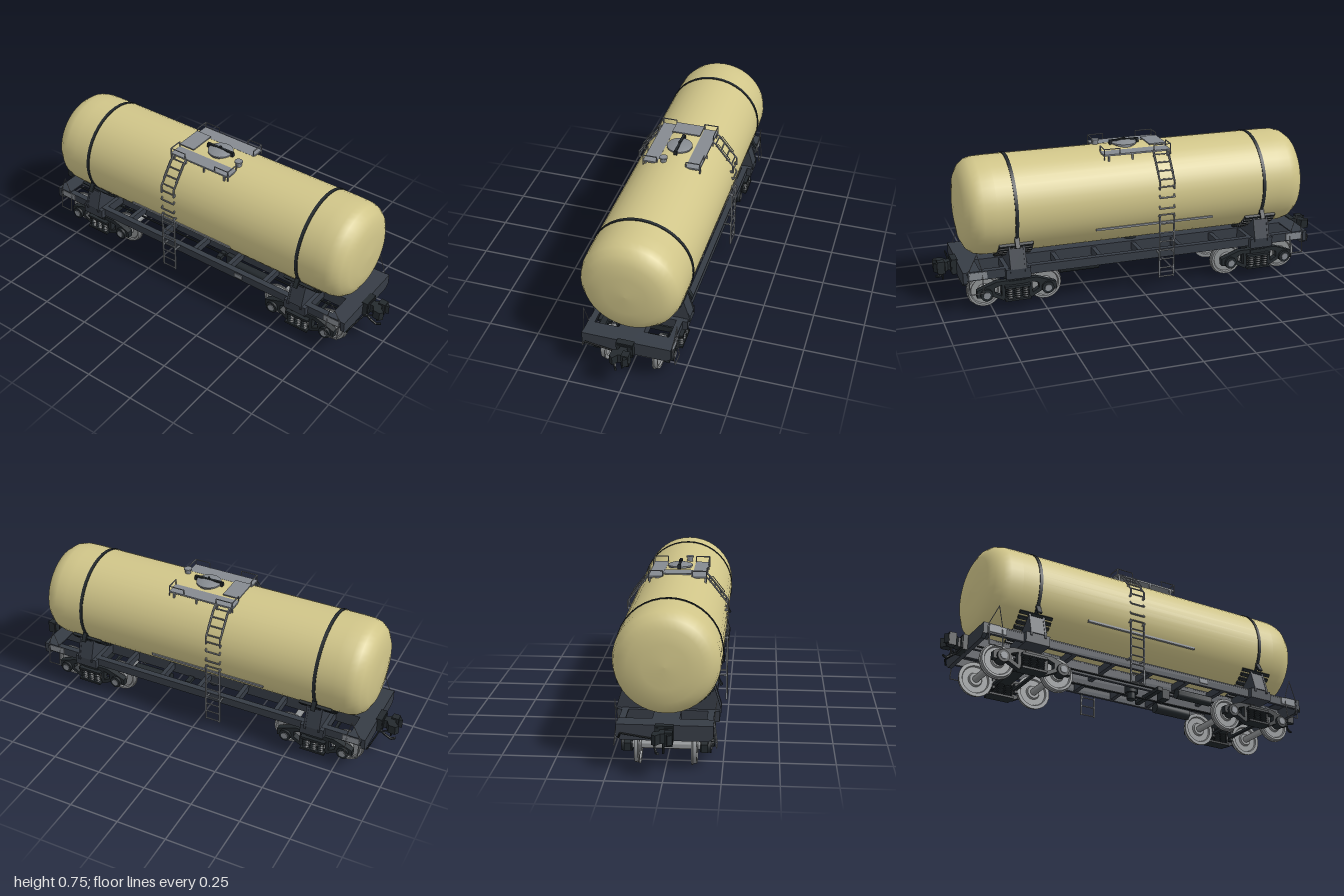
import * as THREE from 'three';
import { toCreasedNormals } from 'three/addons/utils/BufferGeometryUtils.js';

const V = (x, y, z) => new THREE.Vector3(x, y, z);
const mat = (name, color) => Object.assign(new THREE.MeshStandardMaterial({ color }), { name });

export function createModel() {
  const cream = mat('tank cream', 0xd0c589);
  const dark = mat('frame slate', 0x363c45);
  const black = mat('running gear black', 0x23292d);
  const grey = mat('ladder grey', 0x858a90);
  const steel = mat('wheel steel', 0x909395);
  const model = new THREE.Group();
  model.name = 'tankWagon';

  const add = (name, geo, m, parent = model) => {
    const mesh = new THREE.Mesh(geo, m);
    mesh.name = name;
    parent.add(mesh);
    return mesh;
  };
  const group = (name, parent = model) => {
    const g = new THREE.Group();
    g.name = name;
    parent.add(g);
    return g;
  };
  const box = (name, m, w, h, d, x, y, z, parent) => {
    const b = add(name, new THREE.BoxGeometry(w, h, d), m, parent);
    b.position.set(x, y, z);
    return b;
  };
  // round bar between two points
  const rod = (name, m, a, b, r, parent, sides = 8) => {
    const c = add(name, toCreasedNormals(new THREE.CylinderGeometry(r, r, a.distanceTo(b), sides), 0.9), m, parent);
    c.position.copy(a).add(b).multiplyScalar(0.5);
    c.quaternion.setFromUnitVectors(V(0, 1, 0), b.clone().sub(a).normalize());
    return c;
  };
  const path = (name, m, pts, r, parent) => {
    for (let i = 1; i < pts.length; i++) rod(name, m, pts[i - 1], pts[i], r, parent, 6);
  };
  const shapeOf = pts => new THREE.Shape(pts.map(p => new THREE.Vector2(...p)));
  const extrude = (shape, depth) => new THREE.ExtrudeGeometry(shape, { depth, bevelEnabled: false }).translate(0, 0, -depth / 2);
  const lathe = (pts, seg) => new THREE.LatheGeometry(pts.map(p => new THREE.Vector2(...p)), seg);

  // Tank barrel with dished ends
  const TY = 0.475, R = 0.24;
  const end = [[0, 0.883], [0.1, 0.878], [0.165, 0.867], [0.205, 0.846], [0.229, 0.815], [0.238, 0.78], [R, 0.72]];
  const profile = [...end.map(([r, x]) => [r, -x]), ...end.slice().reverse()];
  const tank = add('tank', lathe(profile, 40).rotateZ(-Math.PI / 2), cream);
  tank.position.y = TY;

  // Straps, saddles and bearing blocks under the tank
  for (const s of [1, -1]) {
    const x = 0.63 * s, saddle = group('saddle');
    const strap = add('strap', toCreasedNormals(lathe([[0.238, -0.008], [0.2435, -0.008], [0.2435, 0.008], [0.238, 0.008]], 40).rotateZ(-Math.PI / 2), 0.6), black);
    strap.position.set(x, TY, 0);
    const pts = [[-0.236, 0.2], [0.236, 0.2], [0.236, 0.218], [0.205, 0.32]];
    for (let i = 0; i <= 16; i++) {
      const a = 0.92 * (1 - i / 8);
      pts.push([0.256 * Math.sin(a), TY - 0.256 * Math.cos(a)]);
    }
    pts.push([-0.205, 0.32], [-0.236, 0.218]);
    for (const o of [-0.035, 0.035]) {
      add('saddlePlate', extrude(shapeOf(pts), 0.01).rotateY(-Math.PI / 2), dark, saddle).position.x = x + o;
    }
    box('saddleBase', dark, 0.12, 0.05, 0.46, x, 0.19, 0, saddle);
    for (const t of [1, -1]) {
      for (let i = 0; i < 8; i++) {
        const a = t * (0.2 + i * 0.102);
        const b = box('bearingBlock', black, 0.165, 0.014, 0.016, x, TY - 0.249 * Math.cos(a), 0.249 * Math.sin(a), saddle);
        b.rotation.x = -a;
      }
      const web = box('saddleWeb', dark, 0.07, 0.1, 0.008, x, 0.262, t * 0.216, saddle);
      web.rotation.x = -t * 0.29;
      // strap tensioner
      box('strapTensioner', black, 0.022, 0.09, 0.01, x, 0.36, t * 0.214, saddle).rotation.x = t * -0.5;
    }
  }

  // Underframe: centre sill, side sills, cross members, end beams
  const frame = group('underframe');
  for (const t of [1, -1]) {
    box('centreSill', dark, 1.76, 0.065, 0.018, 0, 0.185, t * 0.05, frame);
    box('sideSill', dark, 1.74, 0.042, 0.016, 0, 0.193, t * 0.198, frame);
    box('sideSillFlange', dark, 1.74, 0.006, 0.03, 0, 0.213, t * 0.193, frame);
  }
  box('centreSillTop', dark, 1.76, 0.006, 0.12, 0, 0.216, 0, frame);
  for (const x of [-0.42, -0.21, 0, 0.21, 0.42]) box('crossMember', dark, 0.022, 0.036, 0.39, x, 0.192, 0, frame);
  for (const s of [1, -1]) {
    const beam = shapeOf([[-0.19, 0.148], [0.19, 0.148], [0.212, 0.165], [0.212, 0.219], [-0.212, 0.219], [-0.212, 0.165]]);
    add('endBeam', extrude(beam, 0.02).rotateY(-Math.PI / 2), dark, frame).position.x = s * 0.882;
    box('endPlatform', dark, 0.08, 0.006, 0.42, s * 0.85, 0.216, 0, frame);
    box('draftStop', black, 0.03, 0.075, 0.08, s * 0.9, 0.186, 0, frame);
    for (const t of [1, -1]) {
      box('sillEndPlate', grey, 0.085, 0.034, 0.005, s * 0.82, 0.196, t * 0.209, frame);
      // corner step and grab rail
      path('cornerStep', grey, [V(s * 0.865, 0.2, t * 0.213), V(s * 0.865, 0.11, t * 0.224), V(s * 0.8, 0.11, t * 0.224), V(s * 0.8, 0.2, t * 0.213)], 0.0028, frame);
      path('grabRail', grey, [V(s * 0.868, 0.215, t * 0.212), V(s * 0.825, 0.31, t * 0.222), V(s * 0.8, 0.215, t * 0.212)], 0.002, frame);
    }
    // Coupler, seen in plan: shank opening into jaw and thumb
    const coupler = group('coupler');
    const plan = shapeOf([[0.87, -0.018], [0.935, -0.018], [0.95, -0.045], [0.985, -0.048], [0.998, -0.03], [0.975, -0.012],
      [0.968, 0.012], [1, 0.02], [0.985, 0.04], [0.945, 0.034], [0.93, 0.018], [0.87, 0.018]]);
    add('couplerHead', extrude(plan, 0.045).rotateX(-Math.PI / 2), black, coupler).position.y = 0.188;
    box('couplerGuard', black, 0.035, 0.062, 0.035, 0.965, 0.188, -0.024, coupler);
    box('couplerCollar', black, 0.022, 0.058, 0.07, 0.908, 0.187, 0, coupler);
    path('brakeHose', black, [V(0.9, 0.165, 0.035), V(0.935, 0.145, 0.04), V(0.965, 0.12, 0.03), V(0.985, 0.125, 0.02)], 0.006, coupler);
    path('releaseLever', black, [V(0.9, 0.16, 0.2), V(0.91, 0.185, 0.19), V(0.91, 0.165, 0.06), V(0.94, 0.155, 0.02)], 0.004, coupler);
    rod('couplerChain', black, V(0.955, 0.165, 0), V(0.955, 0.115, 0), 0.005, coupler);
    coupler.rotation.y = s > 0 ? 0 : Math.PI;
  }

  // Bogies
  const wheelProfile = [[0.017, -0.014], [0.03, -0.014], [0.035, -0.004], [0.064, -0.004], [0.068, -0.012], [0.085, -0.012], [0.085, -0.006],
    [0.08, -0.004], [0.079, 0.012], [0.068, 0.012], [0.064, 0.004], [0.035, 0.004], [0.03, 0.014], [0, 0.014]];
  const wheelGeo = toCreasedNormals(lathe(wheelProfile, 32), 0.5);
  const coil = [[0, 0.052]];
  for (let i = 0; i <= 10; i++) coil.push([i % 2 ? 0.017 : 0.011, 0.052 + i * 0.0058]);
  const springGeo = toCreasedNormals(lathe(coil, 12), 0.4);
  const side = shapeOf([[-0.195, 0.07], [-0.12, 0.07], [-0.07, 0.044], [0.07, 0.044], [0.12, 0.07], [0.195, 0.07],
    [0.195, 0.106], [0.165, 0.118], [0.1, 0.142], [-0.1, 0.142], [-0.165, 0.118], [-0.195, 0.106]]);
  const hole = pts => side.holes.push(new THREE.Path(pts.map(p => new THREE.Vector2(...p))));
  hole([[-0.058, 0.056], [-0.058, 0.112], [0.058, 0.112], [0.058, 0.056]]);
  for (const q of [1, -1]) hole([[q * 0.075, 0.066], [q * 0.108, 0.085], [q * 0.108, 0.112], [q * 0.075, 0.124]]);
  const sideGeo = extrude(side, 0.03);
  for (const s of [1, -1]) {
    const bogie = group('bogie');
    bogie.position.x = 0.63 * s;
    box('bolster', black, 0.08, 0.032, 0.38, 0, 0.124, 0, bogie);
    rod('centrePivot', black, V(0, 0.13, 0), V(0, 0.17, 0), 0.035, bogie, 16);
    for (const t of [1, -1]) {
      add('sideFrame', sideGeo, black, bogie).position.z = t * 0.17;
      box('sideBearer', black, 0.05, 0.03, 0.03, 0, 0.15, t * 0.13, bogie);
      for (const x of [-0.038, 0, 0.038]) for (const z of [0.16, 0.192]) add('spring', springGeo, black, bogie).position.set(x, 0, t * z);
      box('springSeat', black, 0.125, 0.01, 0.065, 0, 0.049, t * 0.176, bogie);
      box('springCap', black, 0.125, 0.012, 0.065, 0, 0.115, t * 0.176, bogie);
    }
    for (const q of [1, -1]) {
      const set = group('wheelset', bogie);
      set.position.set(q * 0.15, 0.085, 0);
      rod('axle', steel, V(0, 0, -0.16), V(0, 0, 0.16), 0.017, set, 16);
      for (const t of [1, -1]) {
        const w = add('wheel', wheelGeo, steel, set);
        w.rotation.x = t * Math.PI / 2;
        w.position.z = t * 0.125;
        rod('axleBox', black, V(0, 0, t * 0.15), V(0, 0, t * 0.198), 0.03, set, 16);
        rod('axleCap', grey, V(0, 0, t * 0.198), V(0, 0, t * 0.202), 0.017, set, 12);
        box('brakeShoe', black, 0.014, 0.05, 0.025, q * -0.092, 0, t * 0.123, set);
      }
      box('brakeBeam', black, 0.014, 0.014, 0.26, q * -0.095, -0.005, 0, set);
    }
  }

  // Brake gear and drain below the frame
  const gear = group('brakeGear');
  rod('airReservoir', black, V(0.2, 0.142, -0.1), V(0.4, 0.142, -0.1), 0.027, gear, 16);
  rod('brakeCylinder', black, V(0.2, 0.148, 0.1), V(0.4, 0.148, 0.1), 0.025, gear, 16);
  rod('drainValve', black, V(0, 0.235, 0), V(0, 0.14, 0), 0.033, gear, 16);
  rod('drainSpout', black, V(0, 0.14, 0), V(0, 0.108, 0), 0.022, gear, 12);
  box('brakeValve', black, 0.04, 0.05, 0.05, 0.15, 0.14, 0.06, gear);
  box('loadLever', black, 0.025, 0.02, 0.22, 0.1, 0.15, 0, gear);
  box('dataPlate', grey, 0.045, 0.022, 0.004, 0.29, 0.194, 0.209, gear);
  rod('brakePipe', black, V(-0.86, 0.158, 0.08), V(0.86, 0.158, 0.08), 0.005, gear);
  rod('pullRod', black, V(-0.53, 0.135, -0.02), V(0.53, 0.142, -0.02), 0.005, gear);

  // Ladders, tank-side bars and steps, alike on both sides
  const X0 = -0.148, X1 = -0.074;
  for (const t of [1, -1]) {
    const lad = group('ladder');
    for (const x of [X0, X1]) {
      box('lowerRail', grey, 0.006, 0.33, 0.008, x, 0.245, t * 0.243, lad);
      box('lowerBracket', grey, 0.006, 0.008, 0.04, x, 0.4, t * 0.232, lad);
      box('frameBracket', grey, 0.006, 0.008, 0.045, x, 0.208, t * 0.222, lad);
      path('upperRail', grey, [V(x, 0.535, t * 0.243), V(x, 0.575, t * 0.243), V(x, 0.69, t * 0.152), V(x, 0.7, t * 0.14)], 0.0045, lad);
      box('upperBracket', grey, 0.006, 0.01, 0.022, x, 0.54, t * 0.235, lad);
      path('ladderHandrail', grey, [V(x, 0.605, t * 0.208), V(x, 0.613, t * 0.226), V(x, 0.69, t * 0.166), V(x, 0.675, t * 0.155)], 0.002, lad);
    }
    for (let y = 0.085; y < 0.41; y += 0.046) rod('lowerRung', grey, V(X0, y, t * 0.243), V(X1, y, t * 0.243), 0.0035, lad, 6);
    for (const [y, z] of [[0.55, 0.243], [0.585, 0.235], [0.62, 0.207], [0.655, 0.18], [0.688, 0.153]]) {
      rod('upperRung', grey, V(X0, y, t * z), V(X1, y, t * z), 0.0035, lad, 6);
    }
    for (const y of [0.44, 0.495]) {
      path('stirrupStep', grey, [V(X0, y + 0.012, t * 0.237), V(X0, y, t * 0.246), V(X1, y, t * 0.246), V(X1, y + 0.012, t * 0.237)], 0.004, lad);
    }
    box('tankSideBar', grey, 0.605, 0.01, 0.012, -0.062, 0.358, t * 0.212);
  }

  // Top walkway with railings
  const walk = group('walkway');
  box('crossBoard', grey, 0.085, 0.006, 0.14, -0.122, 0.717, 0, walk);
  for (const t of [1, -1]) {
    box('sideBoard', grey, 0.34, 0.008, 0.07, 0.005, 0.701, t * 0.105, walk);
    for (const x of [-0.15, -0.08, 0.03, 0.15]) box('boardSupport', grey, 0.008, 0.03, 0.008, x, 0.685, t * 0.135, walk);
    for (const x of [-0.163, 0.173]) {
      path('endRailing', grey, [V(x, 0.7, t * 0.072), V(x, 0.732, t * 0.072), V(x, 0.732, t * 0.14), V(x, 0.68, t * 0.14)], 0.003, walk);
    }
    path('sideRailing', grey, [V(-0.163, 0.732, t * 0.14), V(-0.078, 0.732, t * 0.14), V(-0.078, 0.7, t * 0.14)], 0.0025, walk);
    path('sideRailing', grey, [V(0.173, 0.732, t * 0.14), V(0.095, 0.732, t * 0.14), V(0.095, 0.7, t * 0.14)], 0.0025, walk);
  }

  // Filling hatch and safety valve
  const hatch = group('hatch');
  const lid = add('hatchLid', toCreasedNormals(lathe([[0.056, 0.7], [0.056, 0.716], [0.062, 0.716], [0.062, 0.723], [0.05, 0.728], [0.025, 0.734], [0, 0.735]], 24), 0.5), grey, hatch);
  lid.position.x = 0.03;
  box('hatchBar', black, 0.15, 0.007, 0.012, 0.03, 0.734, 0, hatch);
  rod('hatchBolt', black, V(0.03, 0.73, 0), V(0.03, 0.745, 0), 0.006, hatch);
  for (const x of [-0.04, 0.1]) box('hatchLug', black, 0.012, 0.026, 0.016, x, 0.722, 0, hatch);
  rod('valveBody', grey, V(0.165, 0.7, 0.04), V(0.165, 0.73, 0.04), 0.015, hatch, 12);
  rod('valveCap', grey, V(0.165, 0.73, 0.04), V(0.165, 0.737, 0.04), 0.02, hatch, 12);
  return model;
}
